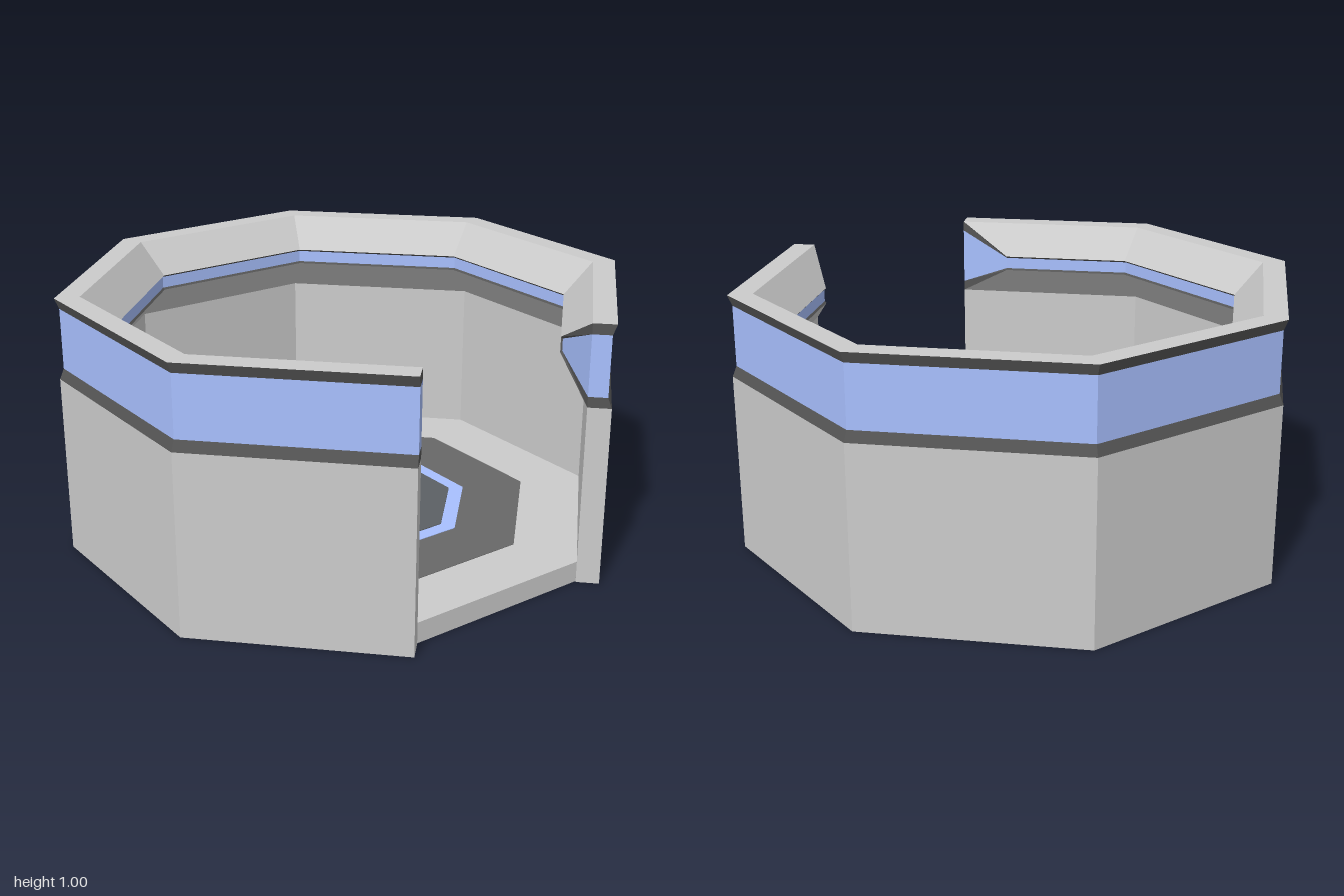
import * as THREE from 'three';

const TAN = Math.tan(Math.PI / 8), COS = Math.cos(Math.PI / 8);
const material = (color) =>
  new THREE.MeshStandardMaterial({ color, flatShading: true, side: THREE.DoubleSide });

// wall cross-section as [distance from centre to the flat, height]
const outer = [[1, 0], [1, 0.69], [0.985, 0.73], [0.985, 0.96], [1, 1], [0.915, 1]];
const ledge = [...outer, [0.81, 0.875], [0.817, 0.868], [0.817, 0.822], [0.81, 0.815], [0.915, 0.69], [0.915, 0]];
const plain = [...outer, [0.915, 1], [0.915, 0.96], [0.915, 0.73], [0.915, 0.69], [0.915, 0.69], [0.915, 0]];

// which strips and end-cap quads of the cross-section belong to each part
const wallParts = [
  { name: 'wall', mat: 'grey', strips: [0, 4, 5, 9, 10, 11], caps: [[0, 1, 10, 11]] },
  { name: 'trimBands', mat: 'dark', strips: [1, 3, 6, 8], caps: [[1, 2, 8, 9], [3, 4, 6, 7]] },
  { name: 'lightBands', mat: 'blue', strips: [2, 7], caps: [[2, 3, 7, 8]] },
];

// place a cross-section on the side facing angle deg, offset along that side
function section(profile, deg, offset) {
  const t = THREE.MathUtils.degToRad(deg), c = Math.cos(t), s = Math.sin(t);
  return profile.map(([a, y]) => {
    const o = offset(a);
    return [a * c - o * s, y, a * s + o * c];
  });
}

export function createModel() {
  const group = new THREE.Group();
  const mats = { grey: material(0xcccccc), dark: material(0x555555), blue: material(0xa8c0ff), floor: material(0x686868), pit: material(0x5c6064) };

  // seven-sided wall: plain end, ledge taper, six corners, taper, plain end
  const sections = [section(plain, 45, () => -0.39), section(ledge, 45, () => -0.18)];
  for (let i = 0; i < 6; i++) sections.push(section(ledge, 45 + i * 45, (a) => a * TAN));
  sections.push(section(ledge, 315, () => 0.18), section(plain, 315, () => 0.39));

  for (const { name, mat, strips, caps } of wallParts) {
    const pos = [];
    const quad = (a, b, c, d) => pos.push(...a, ...b, ...c, ...a, ...c, ...d);
    for (let i = 0; i < sections.length - 1; i++) {
      const p = sections[i], q = sections[i + 1];
      for (const k of strips) {
        const n = (k + 1) % p.length;
        quad(p[k], p[n], q[n], q[k]);
      }
    }
    const first = sections[0], last = sections[sections.length - 1];
    for (const [a, b, c, d] of caps) {
      quad(first[d], first[c], first[b], first[a]);
      quad(last[a], last[b], last[c], last[d]);
    }
    const geometry = new THREE.BufferGeometry();
    geometry.setAttribute('position', new THREE.Float32BufferAttribute(pos, 3));
    geometry.computeVertexNormals();
    const mesh = new THREE.Mesh(geometry, mats[mat]);
    mesh.name = name;
    group.add(mesh);
  }

  // octagonal floor with thin inlays stacked on it
  const plates = [
    ['floor', 0.918, 0, 0.08, 'grey'],
    ['darkInlay', 0.68, 0.078, 0.082, 'floor'],
    ['lightRing', 0.45, 0.08, 0.084, 'blue'],
    ['centrePlate', 0.395, 0.082, 0.087, 'pit'],
  ];
  for (const [name, apothem, bottom, top, mat] of plates) {
    const r = apothem / COS;
    const mesh = new THREE.Mesh(new THREE.CylinderGeometry(r, r, top - bottom, 8), mats[mat]);
    mesh.rotation.y = Math.PI / 8;
    mesh.position.y = (top + bottom) / 2;
    mesh.name = name;
    group.add(mesh);
  }
  return group;
}
